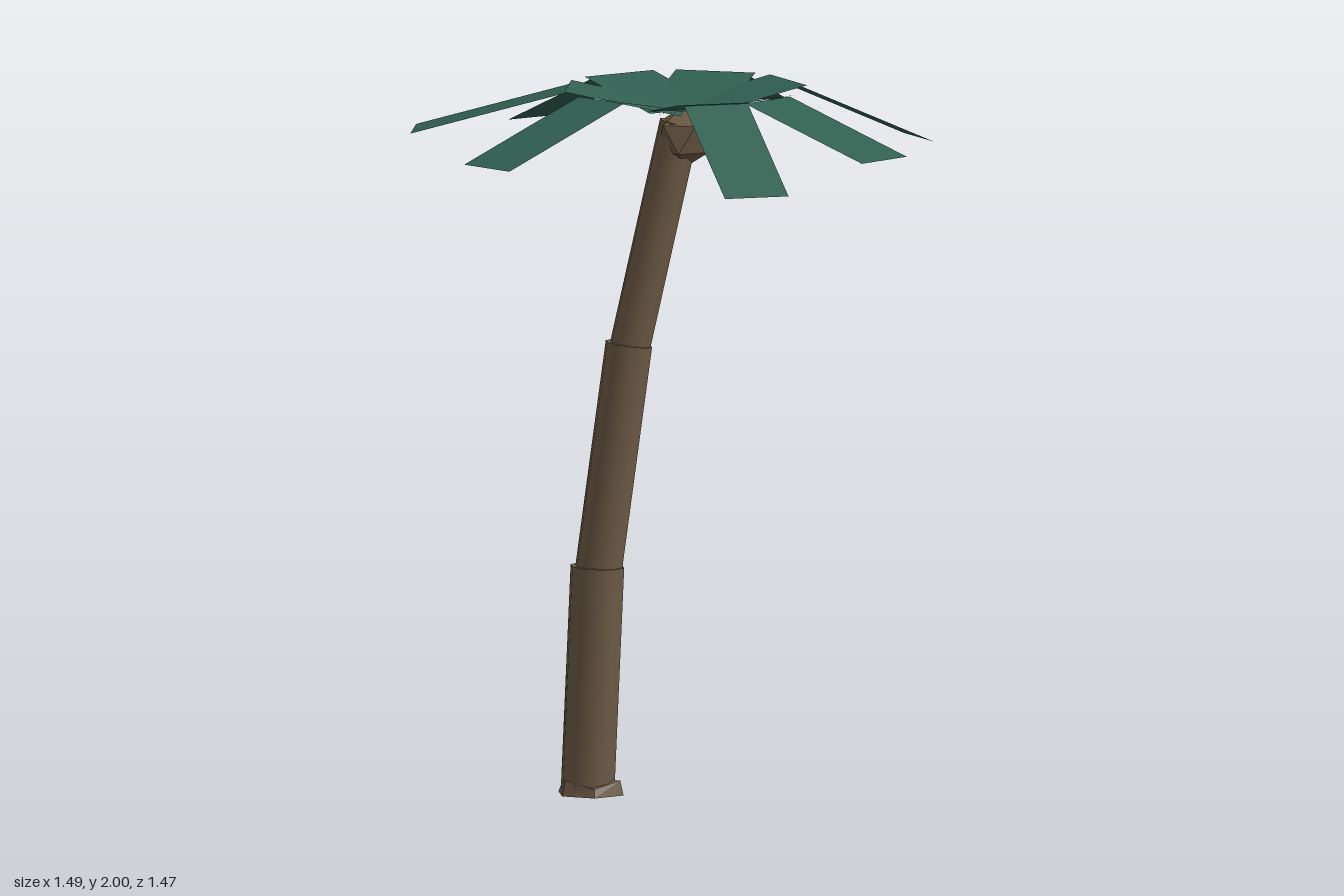
import * as THREE from 'three';

export function createModel() {
  const model = new THREE.Group();
  model.name = 'palmTree';

  const bark = new THREE.MeshStandardMaterial({ color: 0x6e5b46 });
  bark.name = 'barkBrown';
  const barkFlat = bark.clone();
  barkFlat.name = 'barkBrown';
  barkFlat.flatShading = true;
  const leaf = new THREE.MeshStandardMaterial({ color: 0x316051, side: THREE.DoubleSide });
  leaf.name = 'leafGreen';

  const add = (geometry, material, name, parent = model) => {
    const mesh = new THREE.Mesh(geometry, material);
    mesh.name = name;
    parent.add(mesh);
    return mesh;
  };

  // Trunk: three leaning segments, each thinner than the one below
  const segments = [
    [-0.253, 0.0, -0.225, 0.645, 0.077],
    [-0.224, 0.62, -0.136, 1.275, 0.067],
    [-0.137, 1.25, 0.008, 1.9, 0.058],
  ];
  segments.forEach(([x0, y0, x1, y1, r], i) => {
    const from = new THREE.Vector3(x0, y0, 0);
    const to = new THREE.Vector3(x1, y1, 0);
    const axis = to.clone().sub(from);
    const trunk = add(new THREE.CylinderGeometry(r, r, axis.length(), 10), bark, `trunkSegment${i + 1}`);
    trunk.position.copy(from).add(to).multiplyScalar(0.5);
    trunk.quaternion.setFromUnitVectors(new THREE.Vector3(0, 1, 0), axis.normalize());
  });

  // Root collar: a low six-sided ring with an uneven upper edge
  const collar = new THREE.CylinderGeometry(0.09, 0.1, 0.04, 6);
  const p = collar.attributes.position;
  for (let i = 0; i < p.count; i++) {
    if (p.getY(i) > 0 && Math.hypot(p.getX(i), p.getZ(i)) > 0.01) {
      const corner = Math.round(Math.atan2(p.getX(i), p.getZ(i)) / (Math.PI / 3));
      p.setY(i, Math.abs(corner) % 2 ? 0.022 : 0.004);
    }
  }
  add(collar, barkFlat, 'rootCollar').position.set(-0.243, 0.02, 0);

  // Faceted knob joining the fronds to the trunk
  const knob = add(new THREE.IcosahedronGeometry(0.088, 0), barkFlat, 'crownKnob');
  knob.position.set(0.02, 1.86, 0);
  knob.rotation.z = -0.55;

  // A flat strip running outward along +x between two radii and heights
  const strip = (r0, y0, r1, y1, width) => {
    const g = new THREE.PlaneGeometry(1, width).rotateX(-Math.PI / 2);
    const v = g.attributes.position;
    for (let i = 0; i < v.count; i++) {
      const outer = v.getX(i) > 0;
      v.setX(i, outer ? r1 : r0);
      v.setY(i, outer ? y1 : y0);
    }
    g.computeVertexNormals();
    return g;
  };

  // Fronds: tip x and z relative to the crown, and tip height
  const crown = new THREE.Group();
  crown.name = 'crown';
  crown.position.x = 0.02;
  model.add(crown);
  const tips = [
    [0.69, -0.26, 1.81],
    [0.28, -0.705, 1.86],
    [-0.35, -0.66, 1.825],
    [-0.75, -0.145, 1.873],
    [-0.605, 0.455, 1.847],
    [0.13, 0.715, 1.79],
    [0.505, 0.575, 1.87],
  ];
  tips.forEach(([x, z, y], i) => {
    const frond = new THREE.Group();
    frond.name = `frond${i + 1}`;
    frond.rotation.y = Math.atan2(-z, x);
    crown.add(frond);
    add(strip(0, 1.935, 0.328, 2, 0.232), leaf, 'frondInner', frond);
    add(strip(0.318, 1.996, Math.hypot(x, z), y, 0.186), leaf, 'frondOuter', frond);
  });

  return model;
}
